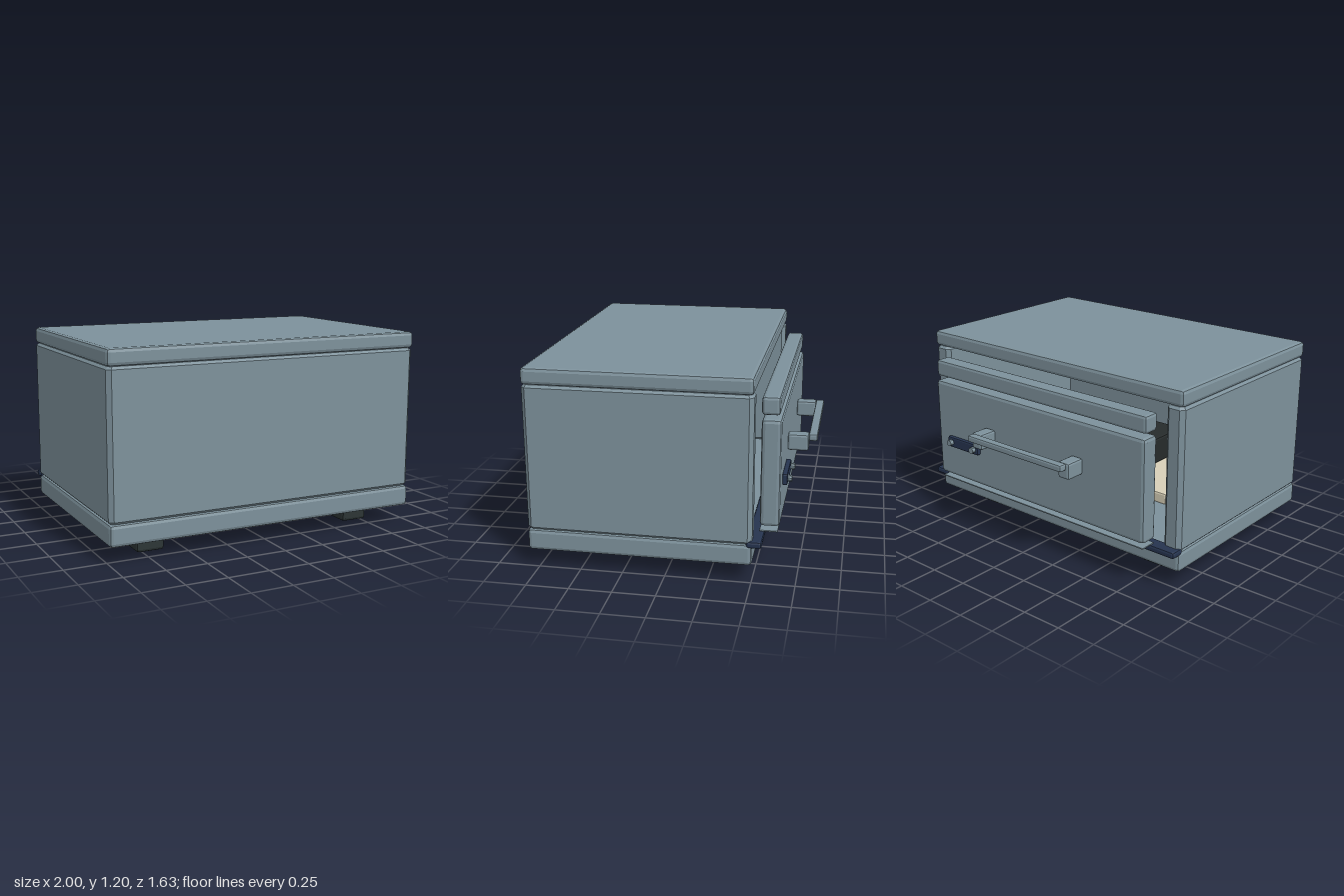
import * as THREE from 'three';
import { RoundedBoxGeometry } from 'three/addons/geometries/RoundedBoxGeometry.js';

const paint = (color, side = THREE.FrontSide) =>
  new THREE.MeshStandardMaterial({ color, flatShading: true, side });

export function createModel() {
  const model = new THREE.Group();
  const slate = paint(0x7d919b), navy = paint(0x26344f);
  const rubber = paint(0x2c3535), cream = paint(0xd8d0b8), charcoal = paint(0x262b2b);

  // Chamfered box given by its limits on each axis
  function block(name, material, [x0, x1], [y0, y1], [z0, z1], chamfer = 0.022) {
    const geometry = new RoundedBoxGeometry(x1 - x0, y1 - y0, z1 - z0, 1, chamfer);
    const mesh = new THREE.Mesh(geometry, material);
    mesh.name = name;
    mesh.position.set((x0 + x1) / 2, (y0 + y1) / 2, (z0 + z1) / 2);
    model.add(mesh);
    return mesh;
  }

  // Base and lid slabs
  const depth = [-0.5, 0.815];
  block('base', slate, [-1, 1], [0.1, 0.23], depth);
  block('lid', slate, [-1, 1], [1.1, 1.2], depth);

  // Cabinet walls: a U-shaped plan, open at the back, with chamfered corners
  const c = 0.025, t = 0.12, bevel = 0.015;
  const half = [
    [1 - t, 0.815 - t], [1 - t, -0.5 + c], [1 - t + c, -0.5],
    [1 - c, -0.5], [1, -0.5 + c], [1, 0.815 - c], [1 - c, 0.815],
  ];
  const outline = [...half, ...half.map(([x, z]) => [-x, z]).reverse()];
  const plan = new THREE.Shape(outline.map(([x, z]) => new THREE.Vector2(x, -z)));
  const wallGeometry = new THREE.ExtrudeGeometry(plan, {
    depth: 0.87 - 2 * bevel, bevelEnabled: true, bevelSegments: 1,
    bevelThickness: bevel, bevelSize: bevel, bevelOffset: -bevel,
  });
  wallGeometry.rotateX(-Math.PI / 2);
  const walls = new THREE.Mesh(wallGeometry, slate);
  walls.name = 'walls';
  walls.position.y = 0.23 + bevel;
  model.add(walls);

  // Four feet
  for (const x of [-0.7, 0.7])
    for (const z of [-0.265, 0.585])
      block('foot', rubber, [x - 0.085, x + 0.085], [0, 0.115], [z - 0.085, z + 0.085], 0.018);

  // Sill along the bottom of the opening
  block('sill', navy, [-1, 1], [0.208, 0.25], [-0.555, -0.465], 0.014);

  // Front panel, upper rail and thin lower plate standing off the opening
  block('panel', slate, [-0.85, 0.85], [0.285, 0.925], [-0.64, -0.525]);
  block('upperRail', slate, [-0.85, 0.85], [0.95, 1.057], [-0.63, -0.525], 0.018);
  block('lowerPlate', slate, [-0.84, 0.84], [0.251, 0.259], [-0.63, -0.525], 0.002);

  // Handle: two posts and a bar
  for (const s of [-1, 1])
    block('handlePost', slate, [s * 0.36 - 0.042, s * 0.36 + 0.042], [0.6, 0.702], [-0.765, -0.638], 0.014);
  block('handleBar', slate, [-0.385, 0.385], [0.66, 0.704], [-0.817, -0.763], 0.012);

  // Small plate with two pins
  block('smallPlate', navy, [0.46, 0.735], [0.5, 0.57], [-0.67, -0.638], 0.01);
  for (const x of [0.495, 0.7]) {
    const pin = new THREE.Mesh(new THREE.CylinderGeometry(0.02, 0.02, 0.03, 10), slate);
    pin.name = 'pin';
    pin.rotation.x = Math.PI / 2;
    pin.position.set(x, 0.535, -0.68);
    model.add(pin);
  }

  // Contents of the cavity
  block('traySlab', cream, [-0.55, 0.55], [0.225, 0.3], [-0.02, 0.62], 0.012);
  block('innerBox', charcoal, [-0.2, 0.5], [0.3, 0.48], [0.3, 0.64], 0.015);
  return model;
}
